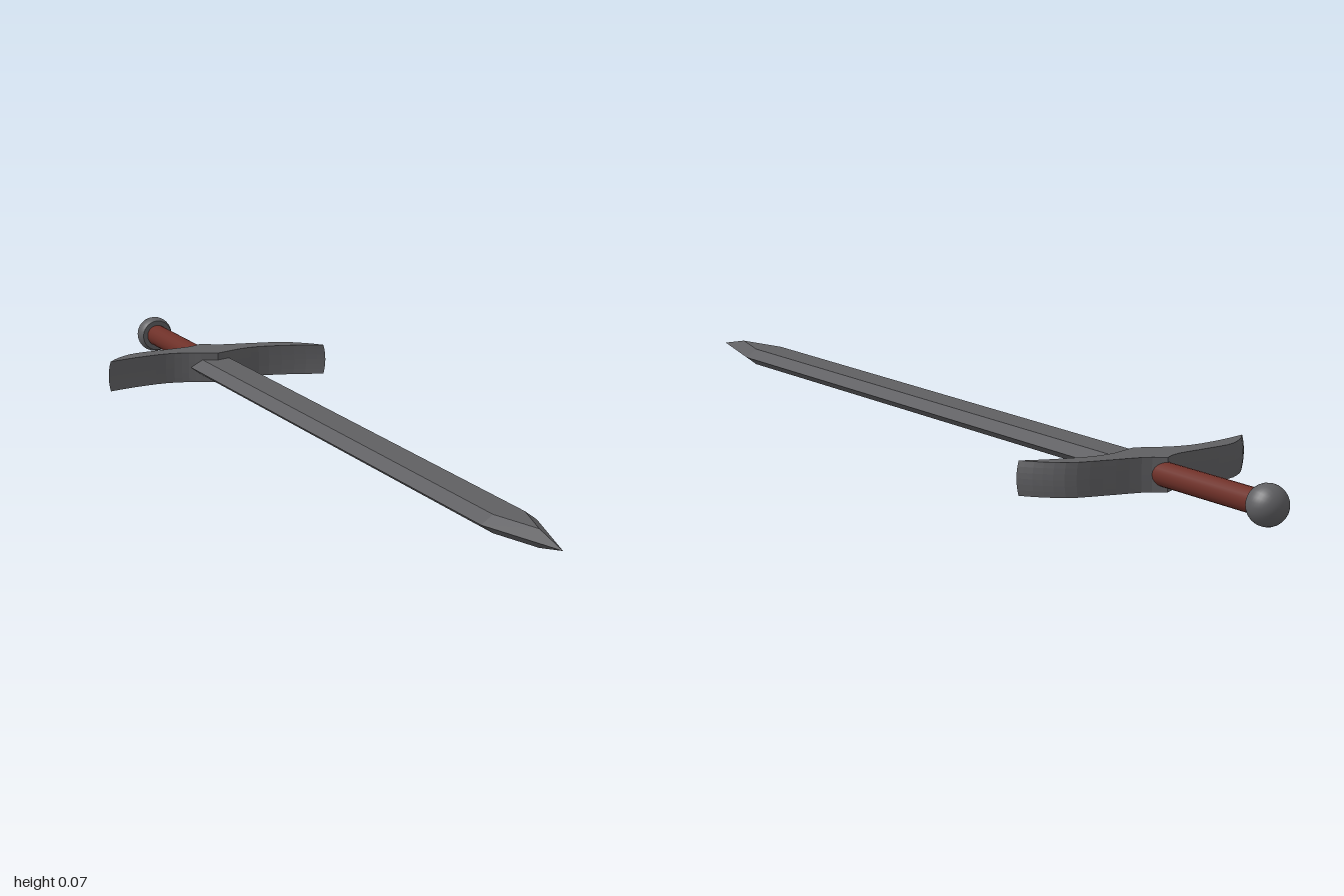
import * as THREE from 'three';
import { ConvexGeometry } from 'three/addons/geometries/ConvexGeometry.js';

const MID = 0.0365; // height of the sword's long axis

const steel = new THREE.MeshStandardMaterial({ color: 0x5f5f62 });
steel.name = 'darkSteel';
const leather = new THREE.MeshStandardMaterial({ color: 0x6e3028 });
leather.name = 'brownLeather';

function addMesh(group, name, geometry, material) {
  const mesh = new THREE.Mesh(geometry, material);
  mesh.name = name;
  group.add(mesh);
  return mesh;
}

// Six-sided blade whose bevels run on to meet at the point
function bladeGeometry() {
  const edge = 0.051, flat = 0.029, half = 0.016;
  const back = -0.62, shoulder = 0.8, tip = 1;
  const ridgeEnd = shoulder + (tip - shoulder) * flat / edge;
  const points = [new THREE.Vector3(0, 0, tip)];
  for (const s of [-1, 1]) {
    points.push(new THREE.Vector3(0, s * half, ridgeEnd));
    for (const z of [back, shoulder]) {
      points.push(new THREE.Vector3(s * edge, 0, z));
      for (const t of [-1, 1]) points.push(new THREE.Vector3(s * flat, t * half, z));
    }
  }
  return new ConvexGeometry(points);
}

// Swept crossguard: mirrored outline, extruded upright, ends slightly bowed
function guardGeometry() {
  const curve = (pts) => new THREE.SplineCurve(pts.map(([x, z]) => new THREE.Vector2(x, z))).getPoints(14);
  const rear = curve([[0, -0.677], [0.035, -0.656], [0.1, -0.645], [0.165, -0.632], [0.208, -0.602], [0.236, -0.57]]);
  const front = curve([[0.236, -0.57], [0.18, -0.589], [0.11, -0.603], [0.063, -0.598], [0.03, -0.585], [0, -0.572]]);
  const right = [...rear, ...front.slice(1)];
  const left = right.slice(1, -1).reverse().map((p) => new THREE.Vector2(-p.x, p.y));
  const height = 0.061;
  const geometry = new THREE.ExtrudeGeometry(new THREE.Shape([...right, ...left]), {
    depth: height, steps: 6, bevelEnabled: false,
  });
  geometry.translate(0, 0, -height / 2).rotateX(Math.PI / 2);
  const pos = geometry.attributes.position;
  for (let i = 0; i < pos.count; i++) {
    const t = pos.getY(i) / (height / 2);
    pos.setX(i, pos.getX(i) * (1 - 0.018 * t * t));
  }
  geometry.computeVertexNormals();
  return geometry;
}

// Ball pommel cut flat where it meets the grip
function addPommel(group) {
  const radius = MID, cut = 1.05;
  const pommel = new THREE.Group();
  pommel.name = 'pommel';
  const ball = new THREE.SphereGeometry(radius, 24, 14, 0, Math.PI * 2, cut, Math.PI - cut);
  addMesh(pommel, 'pommelBall', ball.rotateX(Math.PI / 2), steel);
  const face = addMesh(pommel, 'pommelFace', new THREE.CircleGeometry(radius * Math.sin(cut), 24), steel);
  face.position.z = radius * Math.cos(cut);
  pommel.position.z = -1 + radius;
  group.add(pommel);
}

export function createModel() {
  const sword = new THREE.Group();
  sword.name = 'sword';

  addMesh(sword, 'blade', bladeGeometry(), steel);
  addMesh(sword, 'crossguard', guardGeometry(), steel);

  const grip = new THREE.CylinderGeometry(0.022, 0.022, 0.33, 20).rotateX(Math.PI / 2);
  addMesh(sword, 'grip', grip, leather).position.z = -0.8;

  addPommel(sword);

  for (const part of sword.children) part.position.y = MID;
  return sword;
}
